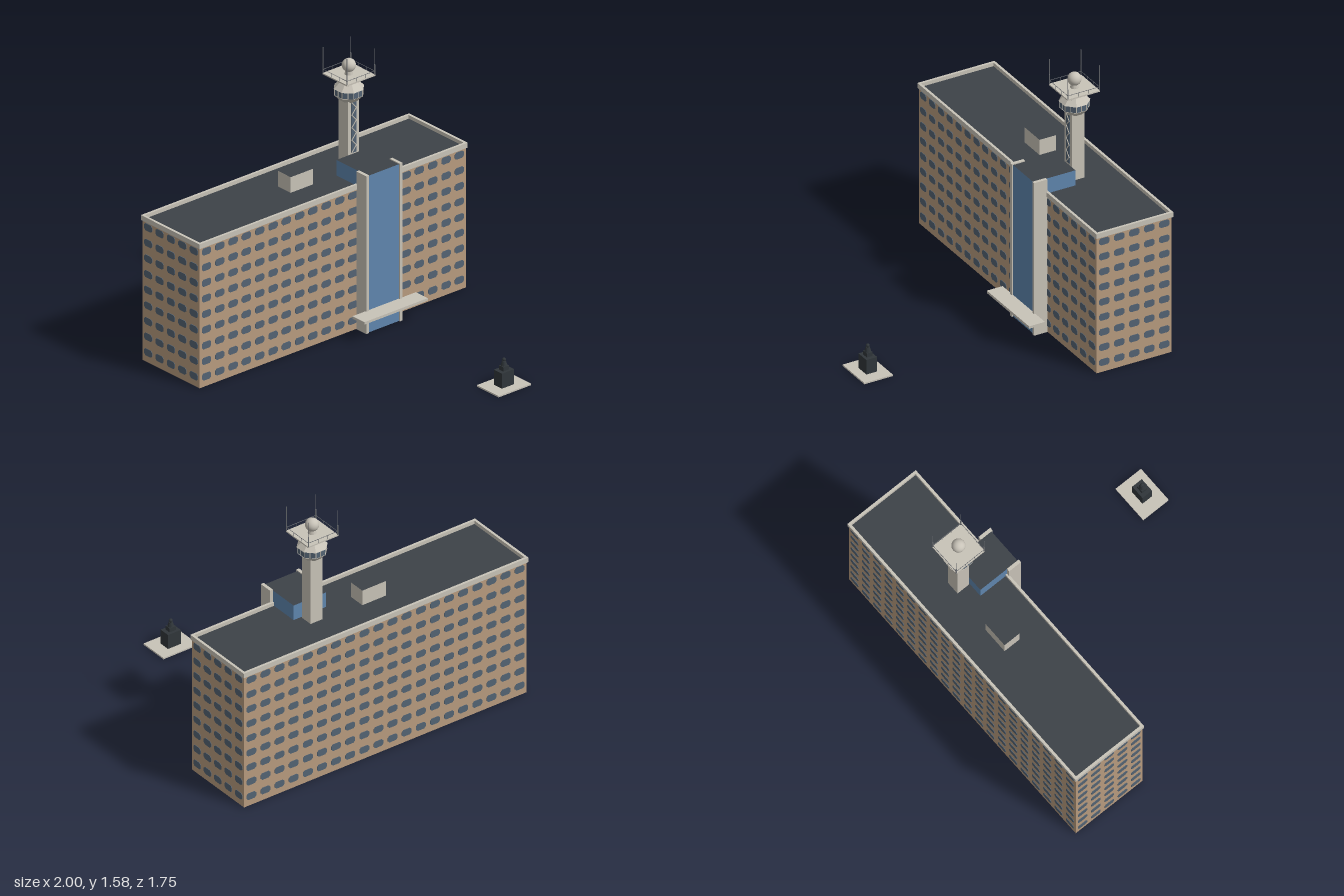
import * as THREE from 'three';
import { mergeGeometries } from 'three/addons/utils/BufferGeometryUtils.js';

const mat = (name, color, side = THREE.FrontSide) => {
  const m = new THREE.MeshStandardMaterial({ color, side });
  m.name = name;
  return m;
};

export function createModel() {
  const brick = mat('tan wall', 0xb89b7e, THREE.DoubleSide);
  const stone = mat('pale concrete', 0xc8c3b8);
  const stoneOpen = mat('pale concrete shell', 0xc8c3b8, THREE.DoubleSide);
  const roof = mat('dark roof', 0x3d4248, THREE.DoubleSide);
  const blue = mat('blue curtain glass', 0x5f86ae, THREE.DoubleSide);
  const pane = mat('window glass', 0x536373);
  const metal = mat('grey metal', 0x6f7276);
  const bronze = mat('dark bronze', 0x30363a);

  const model = new THREE.Group();
  const ANGLE = THREE.MathUtils.degToRad(10);
  const group = (name, parent, x = 0, y = 0, z = 0) => {
    const g = new THREE.Group();
    g.name = name;
    g.position.set(x, y, z);
    parent.add(g);
    return g;
  };
  const add = (parent, name, geo, material, x = 0, y = 0, z = 0) => {
    const m = new THREE.Mesh(geo, material);
    m.name = name;
    m.position.set(x, y, z);
    parent.add(m);
    return m;
  };
  // Box given by its bottom and top heights
  const box = (parent, name, material, x, z, w, d, y0, y1) =>
    add(parent, name, new THREE.BoxGeometry(w, y1 - y0, d), material, x, (y0 + y1) / 2, z);
  // Box without a floor: sides in one colour, lid in another
  const shell = (parent, name, side, lid, x, z, w, d, y0, y1) => {
    const geo = new THREE.BoxGeometry(w, y1 - y0, d);
    geo.setIndex(Array.from(geo.index.array).filter((_, i) => i < 18 || i >= 24));
    geo.clearGroups();
    geo.addGroup(0, 12, 0);
    geo.addGroup(12, 6, 1);
    geo.addGroup(18, 12, 0);
    return add(parent, name, geo, [side, lid], x, (y0 + y1) / 2, z);
  };
  // Faceted, eight-sided drum
  const drum = (parent, name, material, x, z, r0, r1, y0, y1, sides = 8) => {
    const geo = new THREE.CylinderGeometry(r1, r0, y1 - y0, sides).rotateY(Math.PI / sides).toNonIndexed();
    geo.computeVertexNormals();
    return add(parent, name, geo, material, x, (y0 + y1) / 2, z);
  };
  // Thin round bar between two points
  const bar = (parent, name, material, a, b, r) => {
    const p = new THREE.Vector3(...a), q = new THREE.Vector3(...b);
    const m = add(parent, name, new THREE.CylinderGeometry(r, r, p.distanceTo(q), 6), material);
    m.position.copy(p).add(q).multiplyScalar(0.5);
    m.quaternion.setFromUnitVectors(new THREE.Vector3(0, 1, 0), q.sub(p).normalize());
    return m;
  };

  const building = group('building', model, 0, 0, -0.4725);
  building.rotation.y = ANGLE;

  // Main slab
  const L = 1.93, D = 0.475;
  shell(building, 'main block', brick, roof, 0, 0, L, D, 0, 0.858);

  // Parapet ring
  const ring = new THREE.Shape();
  const rect = (path, w, d) => path.moveTo(-w, -d).lineTo(w, -d).lineTo(w, d).lineTo(-w, d).closePath();
  rect(ring, 0.9725, 0.2445);
  const hole = new THREE.Path();
  rect(hole, 0.957, 0.229);
  ring.holes.push(hole);
  add(building, 'parapet', new THREE.ExtrudeGeometry(ring, { depth: 0.03, bevelEnabled: false })
    .rotateX(-Math.PI / 2), stone, 0, 0.85, 0);

  // Windows with clipped corners, nine storeys on all four walls
  const W = 0.033, H = 0.021, c = 0.011;
  const opening = new THREE.Shape([[-W + c, -H], [W - c, -H], [W, -H + c], [W, H - c],
    [W - c, H], [-W + c, H], [-W, H - c], [-W, -H + c]].map(p => new THREE.Vector2(...p)));
  const windowGeo = new THREE.ExtrudeGeometry(opening, { depth: 0.006, bevelEnabled: false }).translate(0, 0, -0.003);
  const wallWindows = (name, count, pitch, dist, turn, skip = () => false) => {
    const parts = [];
    for (let r = 0; r < 9; r++)
      for (let i = 0; i < count; i++) {
        const x = (i - (count - 1) / 2) * pitch;
        if (!skip(x)) parts.push(windowGeo.clone().translate(x, 0.06 + r * 0.095, dist));
      }
    add(building, name, mergeGeometries(parts), pane).rotation.y = turn;
  };
  wallWindows('front windows', 20, L / 20, D / 2, 0, x => x > 0.19 && x < 0.42);
  wallWindows('back windows', 20, L / 20, D / 2, Math.PI);
  wallWindows('left end windows', 5, D / 5, L / 2, Math.PI / 2);
  wallWindows('right end windows', 5, D / 5, L / 2, -Math.PI / 2);

  // Glazed stair tower with side fins and entrance canopy
  shell(building, 'glass tower', blue, roof, 0.301, 0.1825, 0.222, 0.265, 0, 0.953);
  for (const s of [-1, 1])
    box(building, 'tower fin', stone, 0.301 + s * 0.121, 0.281, 0.02, 0.084, 0, 0.959);
  box(building, 'entrance canopy', stone, 0.306, 0.365, 0.46, 0.1, 0.121, 0.136);

  // Rooftop plant room
  shell(building, 'plant room', stoneOpen, roof, -0.06, -0.003, 0.163, 0.105, 0.855, 0.953);

  // Mast shaft with a latticed slot on its front
  const mast = group('mast', building, 0.321, 0, 0.003);
  box(mast, 'mast shaft', stone, 0, 0, 0.08, 0.08, 0.856, 1.4);
  box(mast, 'lattice slot', pane, 0, 0.04, 0.036, 0.004, 0.956, 1.27);
  for (let i = 0; i < 8; i++) {
    const s = i % 2 ? 1 : -1, y = 0.958 + i * 0.038;
    bar(mast, 'lattice brace', stone, [s * 0.016, y, 0.043], [-s * 0.016, y + 0.038, 0.043], 0.003);
  }

  // Observation cabin
  drum(mast, 'cabin underside', stone, 0, 0, 0.052, 0.086, 1.265, 1.3);
  drum(mast, 'cabin glazing', pane, 0, 0, 0.083, 0.083, 1.3, 1.338);
  drum(mast, 'cabin roof', stone, 0, 0, 0.088, 0.052, 1.338, 1.373);
  for (let i = 0; i < 16; i++) {
    const a = i * Math.PI / 8 + Math.PI / 8, r = i % 2 ? 0.077 : 0.083;
    box(mast, 'cabin mullion', stone, r * Math.sin(a), r * Math.cos(a), 0.004, 0.004, 1.3, 1.338).rotation.y = a;
  }

  // Square platform with tapered underside
  drum(mast, 'platform underside', stone, 0, 0, 0.1, 0.143, 1.392, 1.41, 4);
  box(mast, 'platform deck', stone, 0, 0, 0.205, 0.205, 1.41, 1.418);

  // Railing and aerials
  const e = 0.1;
  for (let k = 0; k < 4; k++) {
    const side = group('platform side', mast);
    side.rotation.y = k * Math.PI / 2;
    bar(side, 'handrail', metal, [-e, 1.44, e], [e, 1.44, e], 0.0015);
    for (const x of [-0.033, 0.033])
      bar(side, 'rail post', metal, [x, 1.418, e], [x, 1.44, e], 0.0015);
    bar(side, 'aerial', metal, [e, 1.418, e], [e, 1.575, e], 0.002);
    bar(side, 'aerial sleeve', metal, [e, 1.418, e], [e, 1.48, e], 0.0035);
  }

  // Radar dome
  drum(mast, 'dome pedestal', stone, 0, 0, 0.024, 0.02, 1.418, 1.44, 16);
  add(mast, 'radar dome', new THREE.SphereGeometry(0.039, 32, 20), stone, 0, 1.472, 0);

  // Monument on the forecourt
  const monument = group('monument', model, 0.534, 0, 0.76);
  monument.rotation.y = ANGLE;
  box(monument, 'paving slab', stone, 0, 0, 0.236, 0.182, 0, 0.009);
  box(monument, 'pedestal', bronze, 0, 0, 0.087, 0.068, 0.009, 0.1);
  box(monument, 'plinth', bronze, 0, 0, 0.042, 0.036, 0.1, 0.125);
  drum(monument, 'bust', bronze, 0, 0, 0.019, 0.011, 0.125, 0.153, 12);
  add(monument, 'bust head', new THREE.SphereGeometry(0.011, 16, 12), bronze, 0, 0.161, 0);

  return model;
}
